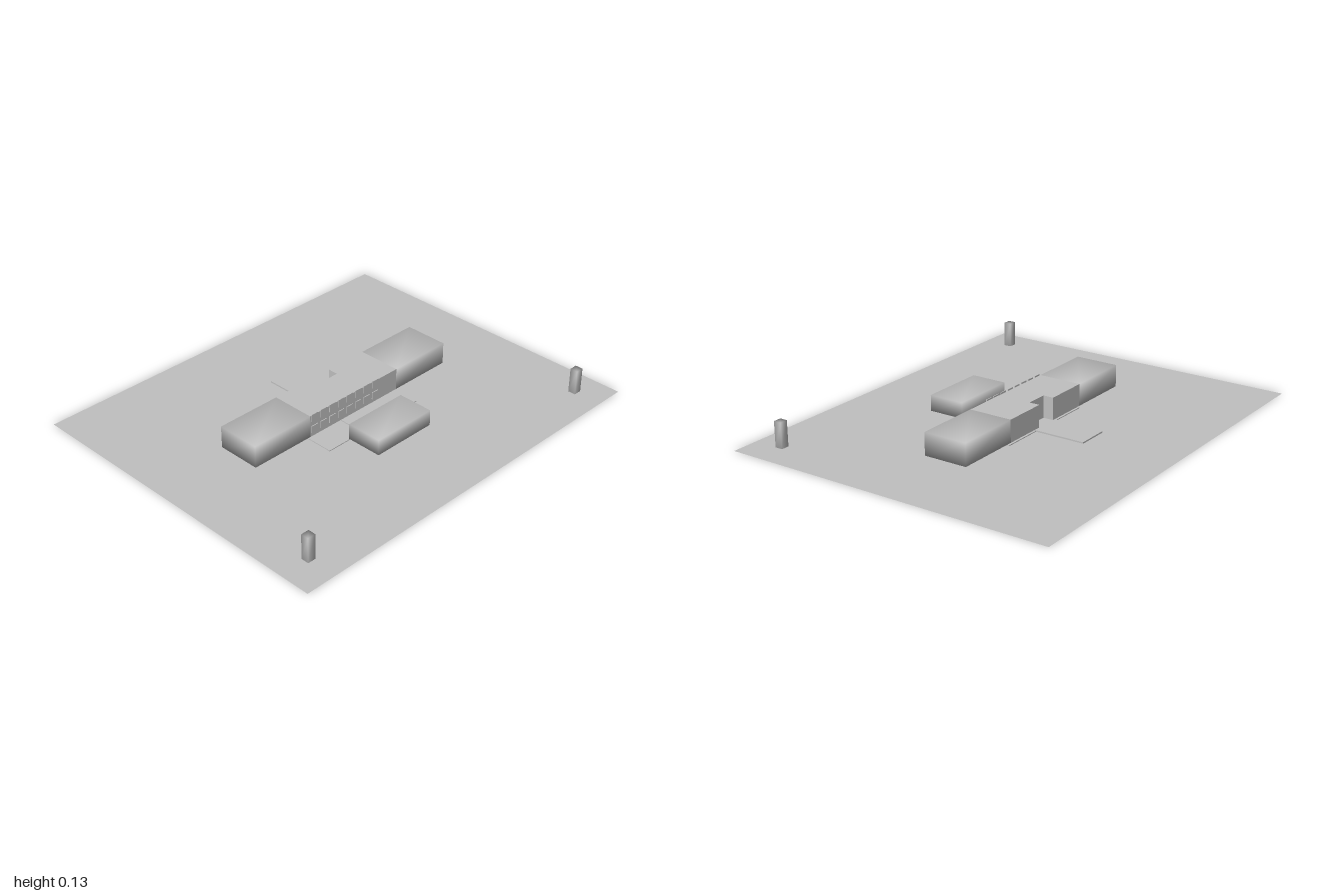
import * as THREE from 'three';
import { mergeVertices } from 'three/addons/utils/BufferGeometryUtils.js';

const stone = new THREE.MeshStandardMaterial({ color: 0xc0c0c0, side: THREE.DoubleSide });
stone.name = 'pale grey';

// Box given by its limits; soft boxes share corner normals
function block(name, [x0, x1], [y0, y1], [z0, z1], soft = false) {
  let geo = new THREE.BoxGeometry(x1 - x0, y1 - y0, z1 - z0);
  if (soft) {
    geo.deleteAttribute('uv');
    geo.deleteAttribute('normal');
    geo = mergeVertices(geo);
    geo.computeVertexNormals();
  }
  const mesh = new THREE.Mesh(geo, stone);
  mesh.name = name;
  mesh.position.set((x0 + x1) / 2, (y0 + y1) / 2, (z0 + z1) / 2);
  return mesh;
}

export function createModel() {
  const model = new THREE.Group();
  model.name = 'siteModel';

  // Flat site
  const ground = new THREE.Mesh(new THREE.PlaneGeometry(2, 1.63).rotateX(-Math.PI / 2), stone);
  ground.name = 'ground';
  model.add(ground);

  // Paving
  model.add(block('path', [-0.08, 0.08], [0.003, 0.01], [-0.38, 0.34]));
  model.add(block('terrace', [-0.28, 0.28], [0.002, 0.006], [-0.13, 0.21]));

  // Long building: two wings and a centre with a recessed rear entrance
  const y = [0.015, 0.123], back = -0.132, front = 0.085;
  model.add(block('rightWing', [-0.6, -0.275], y, [back, front], true));
  model.add(block('leftWing', [0.275, 0.6], y, [back, front], true));
  const plan = new THREE.Shape([
    [-0.275, -front], [0.275, -front], [0.275, -back], [0.055, -back],
    [0.055, 0.08], [-0.055, 0.08], [-0.055, -back], [-0.275, -back],
  ].map(([px, py]) => new THREE.Vector2(px, py)));
  const centre = new THREE.Mesh(
    new THREE.ExtrudeGeometry(plan, { depth: y[1] - y[0], bevelEnabled: false }).rotateX(-Math.PI / 2), stone);
  centre.name = 'centreHall';
  centre.position.y = y[0];
  model.add(centre);

  // Two rows of eight window plates on the front wall
  const windows = new THREE.Group();
  windows.name = 'windows';
  for (const [low, high] of [[0.092, 0.13], [0.035, 0.07]]) {
    for (let i = 0; i < 8; i++) {
      const x = -0.25 + i * 0.0545;
      windows.add(block('window', [x - 0.019, x + 0.019], [low, high], [0.086, 0.09]));
    }
  }
  model.add(windows);

  // Low front pavilion
  model.add(block('pavilion', [-0.165, 0.165], [0.015, 0.092], [0.215, 0.393], true));

  // Gate posts
  for (const s of [-1, 1]) {
    model.add(block('gatePost', [s * 0.855 - 0.02, s * 0.855 + 0.02], [0.004, 0.126], [0.652, 0.69], true));
  }
  return model;
}
